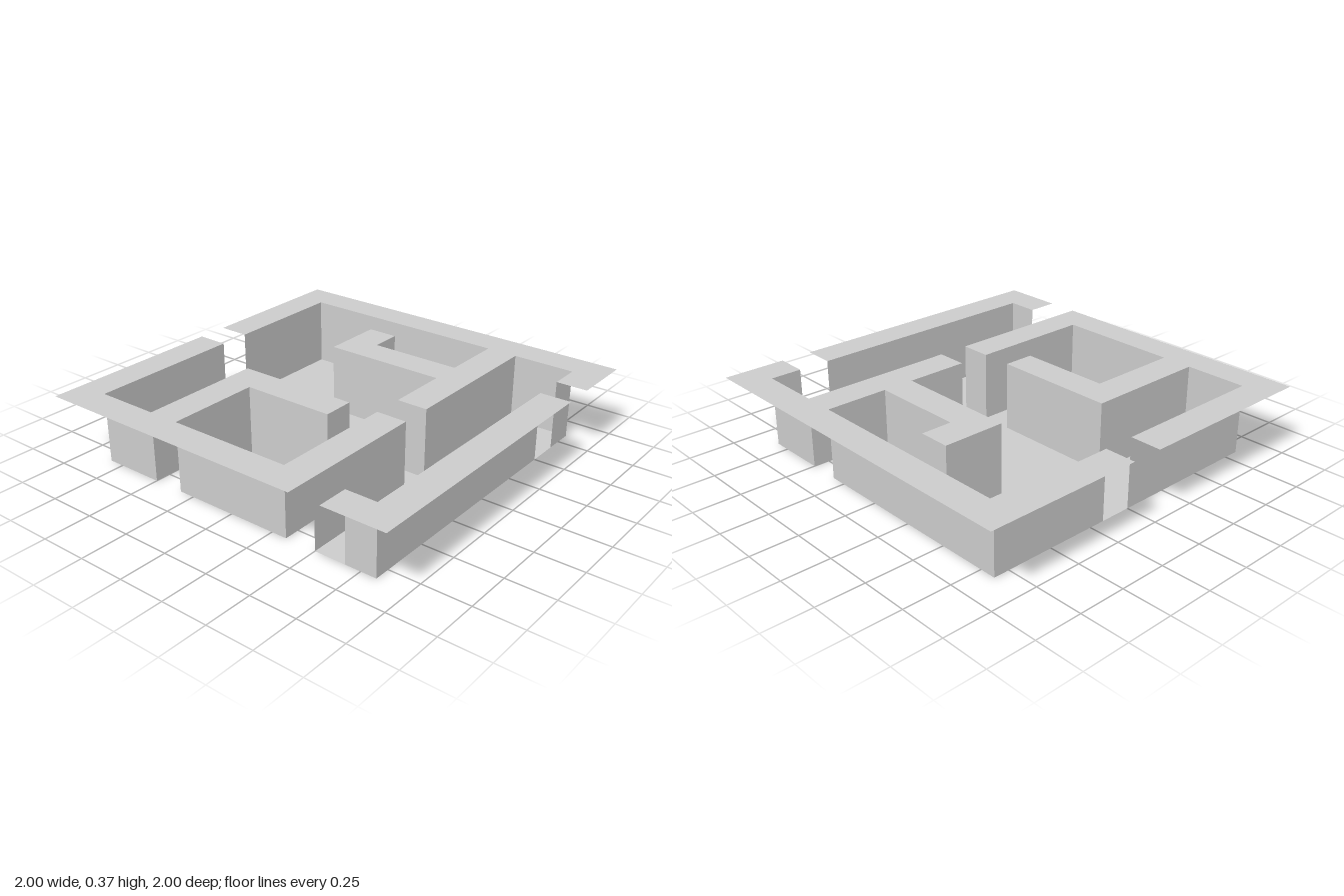
import * as THREE from 'three';

const CELL = 1 / 6;
const HEIGHT = 0.37;

// Each run: the inner wall line between two openings (clockwise from above, in
// cells as [x, z]), and the outer border that closes its flat top.
const RUNS = [
  {
    name: 'back',
    line: [[-5, -1], [-5, -5], [2, -5], [2, -3], [-1, -3], [-1, -4], [-2, -4], [-2, -2],
      [2, -2], [2, 0], [3, 0], [3, -5], [5, -5], [5, -4]],
    border: [[6, -4], [6, -6], [-6, -6], [-6, -1]],
  },
  {
    name: 'left',
    line: [[5, -3], [5, 5], [4, 5]],
    border: [[4, 6], [6, 6], [6, -3]],
  },
  {
    name: 'front',
    line: [[3, 5], [3, 1], [2, 1], [2, 5], [-2, 5], [-2, 2], [1, 2], [1, 1],
      [-3, 1], [-3, 5], [-5, 5], [-5, 0]],
    border: [[-6, 0], [-6, 6], [3, 6]],
  },
];

// Flat horizontal sheet at height y
function sheet(points, y) {
  const shape = new THREE.Shape(points.map(([x, z]) => new THREE.Vector2(x * CELL, -z * CELL)));
  return new THREE.ShapeGeometry(shape).rotateX(-Math.PI / 2).translate(0, y, 0);
}

// Upright panels along a line, facing the corridor
function panels(line) {
  const pos = [];
  for (let i = 0; i < line.length - 1; i++) {
    const [ax, az] = line[i].map((v) => v * CELL);
    const [bx, bz] = line[i + 1].map((v) => v * CELL);
    pos.push(ax, 0, az, bx, 0, bz, bx, HEIGHT, bz);
    pos.push(ax, 0, az, bx, HEIGHT, bz, ax, HEIGHT, az);
  }
  const geo = new THREE.BufferGeometry();
  geo.setAttribute('position', new THREE.Float32BufferAttribute(pos, 3));
  geo.computeVertexNormals();
  return geo;
}

export function createModel() {
  const model = new THREE.Group();
  model.name = 'maze';
  const material = new THREE.MeshStandardMaterial({
    color: 0xcccccc, flatShading: true, side: THREE.DoubleSide,
  });
  const add = (name, geometry) => {
    const mesh = new THREE.Mesh(geometry, material);
    mesh.name = name;
    model.add(mesh);
  };

  // Corridor floor, bounded by all wall lines
  add('floor', sheet(RUNS.flatMap((run) => run.line), 0));

  // Hollow walls: thin top sheet plus corridor-side panels
  for (const { name, line, border } of RUNS) {
    add(`${name}WallTop`, sheet([...line, ...border], HEIGHT));
    add(`${name}WallPanels`, panels(line));
  }
  return model;
}
